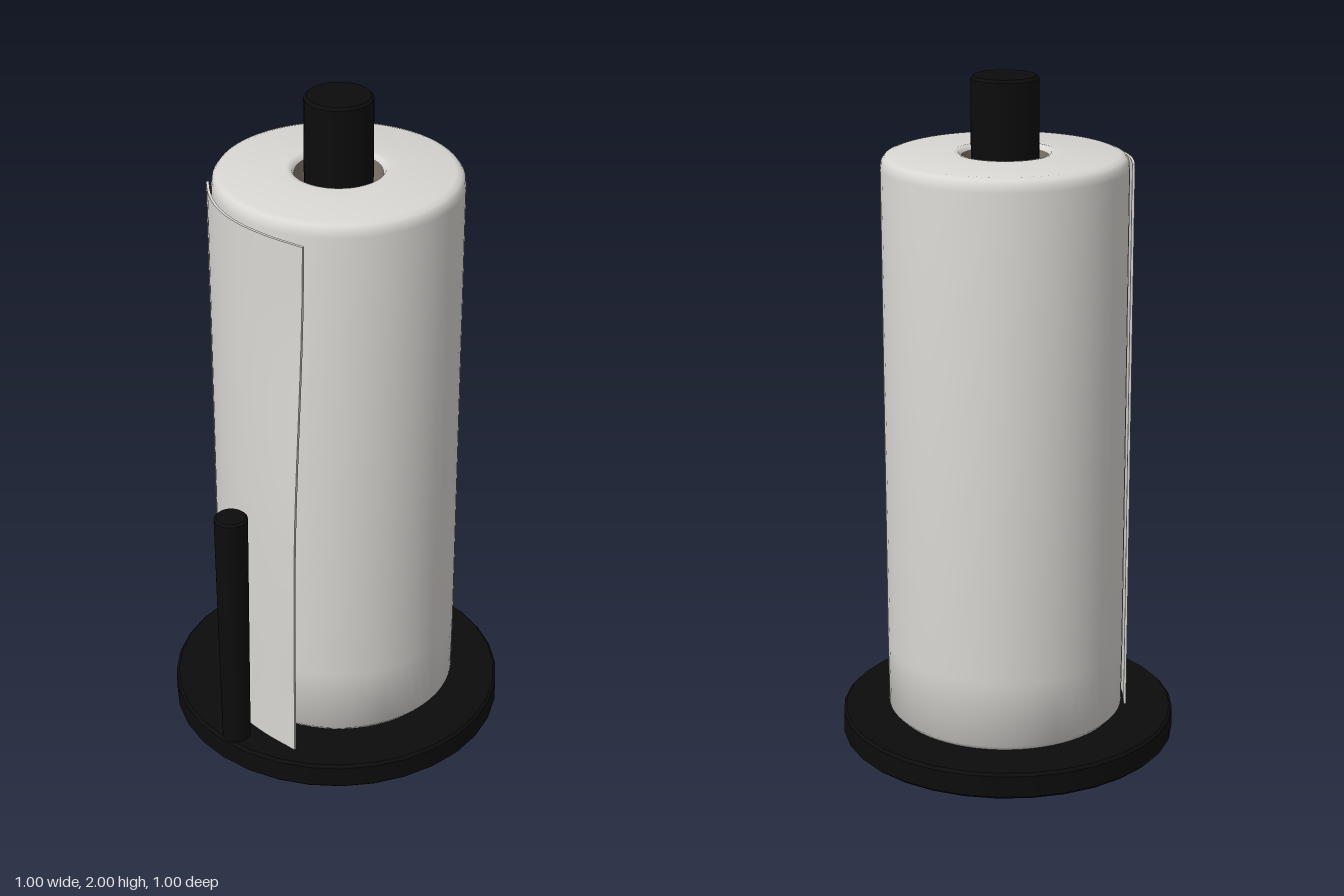
import * as THREE from 'three';
import { toCreasedNormals } from 'three/addons/utils/BufferGeometryUtils.js';

export function createModel() {
  const group = new THREE.Group();
  const material = (name, color) => {
    const m = new THREE.MeshStandardMaterial({ color });
    m.name = name;
    return m;
  };
  const black = material('black', 0x0c0c0c);
  const paper = material('paper', 0xd9d7d3);
  const cardboard = material('cardboard', 0x80746a);

  const add = (name, geometry, mat, x = 0, y = 0, z = 0) => {
    const mesh = new THREE.Mesh(geometry, mat);
    mesh.name = name;
    mesh.position.set(x, y, z);
    group.add(mesh);
    return mesh;
  };
  const lathe = (points, sides, crease = 0.7) => toCreasedNormals(
    new THREE.LatheGeometry(points.map(([r, y]) => new THREE.Vector2(r, y)), sides), crease);

  // Solid round bar with a small bevel on both ends
  const bar = (r0, r1, height, bevel, sides) => lathe([
    [0, 0], [r0 - bevel, 0], [r0, bevel], [r1, height - bevel], [r1 - bevel, height], [0, height],
  ], sides);

  const axisZ = -0.013;

  // Stand
  add('base', bar(0.5, 0.5, 0.08, 0.008, 32), black);
  add('centrePole', bar(0.097, 0.097, 1.93, 0.008, 32), black, 0, 0.07, axisZ);
  add('frontPost', bar(0.042, 0.049, 0.79, 0.007, 24), black, -0.075, 0.07, 0.448);

  // Paper roll with rounded top edge and a slightly raised lip at the hole
  add('paperRoll', lathe([
    [0.1, 0.082], [0.335, 0.082], [0.352, 0.1], [0.354, 0.3], [0.354, 1.74], [0.351, 1.76],
    [0.342, 1.772], [0.325, 1.778], [0.18, 1.778], [0.145, 1.784], [0.132, 1.782], [0.125, 1.77],
  ], 64, 1), paper, 0, 0, axisZ);

  // Cardboard core narrowing into the roll
  add('cardboardCore', lathe([[0.125, 1.772], [0.12, 1.72], [0.095, 1.6]], 48),
    cardboard, 0, 0, axisZ);

  // Loose end of the sheet: a thin curved strip extruded upward
  const curve = new THREE.CatmullRomCurve3([
    [-0.302, 0.197], [-0.25, 0.262], [-0.18, 0.322], [-0.09, 0.366], [0.02, 0.391], [0.143, 0.399],
  ].map(([x, z]) => new THREE.Vector3(x, -z, 0)));
  const outer = [];
  const inner = [];
  for (let i = 0; i <= 20; i++) {
    const p = curve.getPointAt(i / 20);
    const t = curve.getTangentAt(i / 20);
    outer.push(new THREE.Vector2(p.x, p.y));
    inner.unshift(new THREE.Vector2(p.x - t.y * 0.008, p.y + t.x * 0.008));
  }
  const sheet = new THREE.ExtrudeGeometry(new THREE.Shape([...outer, ...inner]),
    { depth: 1.67, steps: 16, bevelEnabled: false });
  sheet.rotateX(-Math.PI / 2);
  sheet.translate(0, 0.08, 0);

  // The free edge swings outward and leans back toward the bottom
  const pos = sheet.attributes.position;
  for (let i = 0; i < pos.count; i++) {
    const x = pos.getX(i);
    const y = pos.getY(i);
    const across = Math.max(0, (x + 0.3) / 0.44);
    const drop = 1 - THREE.MathUtils.smoothstep(y, 0.75, 1.65);
    const tuck = 1 - THREE.MathUtils.smoothstep(y, 0.08, 0.6);
    pos.setX(i, x - 0.027 * across * (1 - (y - 0.08) / 1.67));
    pos.setZ(i, pos.getZ(i) + across * across * (0.032 * drop - 0.008 * tuck));
  }
  add('looseSheet', toCreasedNormals(sheet, 0.6), paper);

  return group;
}
